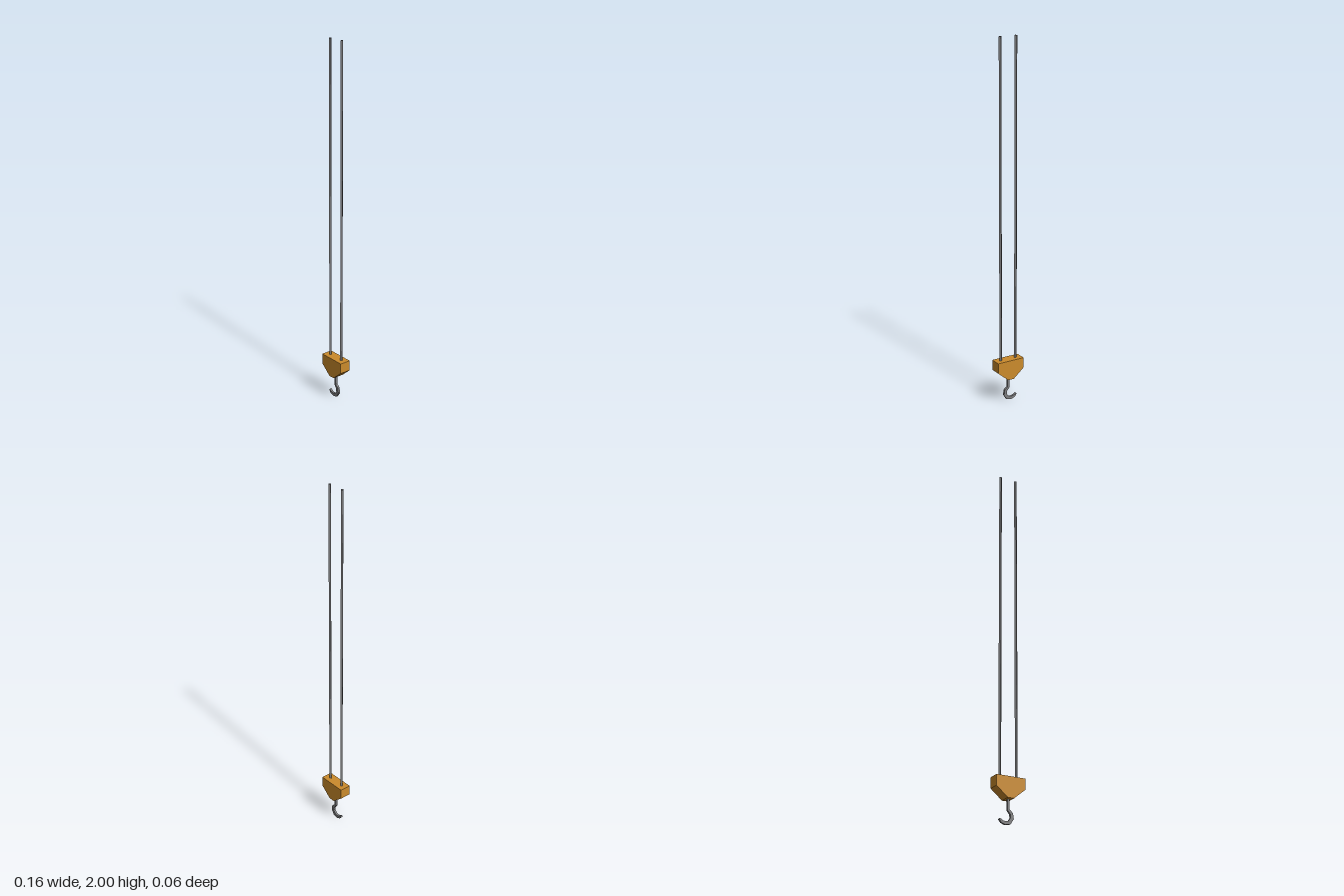
import * as THREE from 'three';

const paint = new THREE.MeshStandardMaterial({ color: 0xcb8b2c });
paint.name = 'ochre paint';
const steel = new THREE.MeshStandardMaterial({ color: 0x7e7e80, flatShading: true, side: THREE.DoubleSide });
steel.name = 'grey steel';

// Flat plate of the given outline, centred on z = 0
function plate(name, outline, depth, material) {
  const shape = new THREE.Shape(outline.map(([x, y]) => new THREE.Vector2(x, y)));
  const geometry = new THREE.ExtrudeGeometry(shape, { depth, bevelEnabled: false });
  geometry.translate(0, 0, -depth / 2);
  const mesh = new THREE.Mesh(geometry, material);
  mesh.name = name;
  return mesh;
}

// Outline of a mitred band along a path of [x, y, halfWidth]
function band(path) {
  const left = [], right = [];
  path.forEach(([x, y, w], i) => {
    const here = new THREE.Vector2(x, y);
    const dir = (a, b) => new THREE.Vector2(b[0] - a[0], b[1] - a[1]).normalize();
    const before = i > 0 ? dir(path[i - 1], path[i]) : dir(path[0], path[1]);
    const after = i < path.length - 1 ? dir(path[i], path[i + 1]) : before;
    const t = before.clone().add(after).normalize();
    const n = new THREE.Vector2(-t.y, t.x).multiplyScalar(w / Math.max(0.6, t.dot(before)));
    left.push([here.x + n.x, here.y + n.y]);
    right.unshift([here.x - n.x, here.y - n.y]);
  });
  return [...left, ...right];
}

export function createModel() {
  const model = new THREE.Group();
  model.name = 'craneHook';

  // Pulley block with a tapered underside
  model.add(plate('pulleyBlock', [
    [-0.081, 0.243], [-0.081, 0.185], [-0.018, 0.132],
    [0.018, 0.132], [0.081, 0.185], [0.081, 0.243],
  ], 0.063, paint));

  // Pair of four-sided open cables
  for (const side of [-1, 1]) {
    const cable = new THREE.Mesh(new THREE.CylinderGeometry(0.008, 0.008, 1.77, 4, 1, true), steel);
    cable.name = side < 0 ? 'rightCable' : 'leftCable';
    cable.position.set(side * 0.047, 1.115, 0);
    model.add(cable);
  }

  // Shank and hook, opening towards the right
  model.add(plate('hook', band([
    [0, 0.14, 0.006], [0, 0.078, 0.006], [0.017, 0.06, 0.008], [0.02, 0.036, 0.009],
    [0.006, 0.014, 0.009], [-0.018, 0.009, 0.008], [-0.036, 0.015, 0.007], [-0.05, 0.028, 0.004],
  ]), 0.012, steel));

  return model;
}
